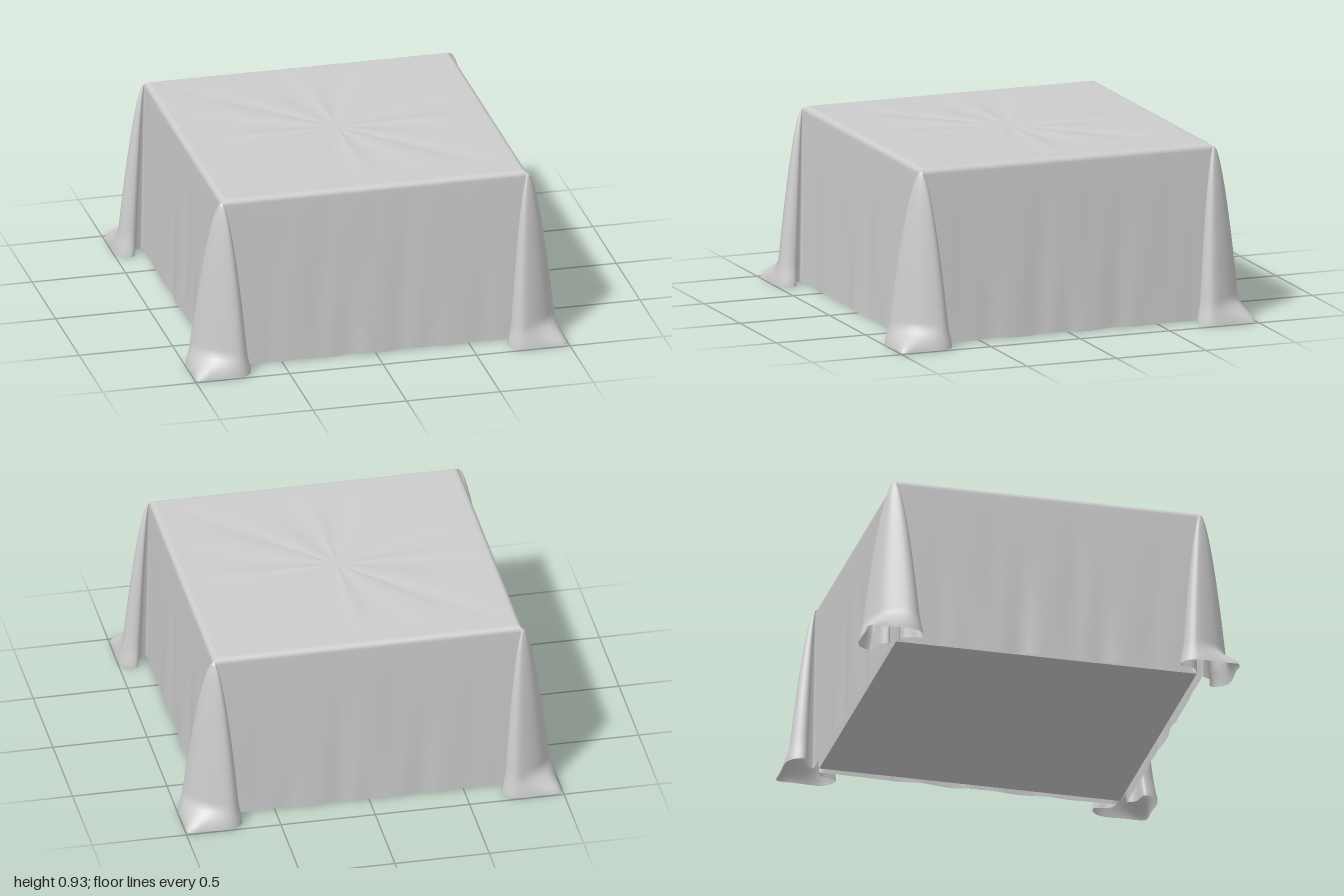
import * as THREE from 'three';

const CORNER_STEPS = 40, WALL_STEPS = 48;

// Half of the gathered corner fold: [out along the diagonal, sideways]
const FOLD = [[-0.014, 0.028], [0.0, 0.078], [-0.033, 0.145], [0.0, 0.172], [0.055, 0.17], [0.098, 0.095], [0.118, 0]];
// The same fold at the hem, where its nose spreads over the floor
const HEM = [[-0.014, 0.028], [0.0, 0.08], [-0.04, 0.155], [0.0, 0.182], [0.062, 0.175], [0.165, 0.07], [0.228, 0]];

// Points of the fold, blended towards the hem by k, from one wall to the next
function foldPoints(k) {
  const half = FOLD.map(([d, w], i) => [
    THREE.MathUtils.lerp(d, HEM[i][0], k),
    THREE.MathUtils.lerp(w, HEM[i][1], k),
  ]);
  const all = [
    ...half.map(([d, w]) => new THREE.Vector3(d, -w, 0)),
    ...half.slice(0, -1).reverse().map(([d, w]) => new THREE.Vector3(d, w, 0)),
  ];
  return new THREE.CatmullRomCurve3(all, false, 'centripetal').getPoints(CORNER_STEPS);
}

// One closed ring of the cloth: four folds joined by four rippled walls
function ring(y, c) {
  const t = THREE.MathUtils.clamp((0.93 - y) / 0.93, 0, 1);
  const s = Math.pow(t, 0.6);
  const k = 1 - THREE.MathUtils.smoothstep(y, 0.01, 0.13);
  const corner = foldPoints(k).map((p) => [
    c + (s * (p.x + p.y)) / Math.SQRT2,
    c + (s * (p.x - p.y)) / Math.SQRT2,
  ]);
  const [ex, ez] = corner[CORNER_STEPS];
  const points = [];
  for (let q = 0; q < 4; q++) {
    const side = corner.map(([x, z]) => [x, y, z]);
    for (let i = 1; i < WALL_STEPS; i++) {
      const u = i / WALL_STEPS;
      const a = u * Math.PI * 2 + q * 1.7;
      const wave = Math.sin(a * 4 + y * 2) + 0.7 * Math.sin(a * 7 + 1 - y * 3) + 0.4 * Math.sin(a * 11 + 2);
      const fade = Math.sin(Math.PI * u);
      side.push([
        ex + 0.0045 * t * fade * wave + 0.004 * t * fade,
        y + 0.003 * k * fade * Math.sin(a * 5),
        THREE.MathUtils.lerp(ez, -ex + (ex - ez), u),
      ]);
    }
    // Quarter turns about the vertical axis
    for (const [x, py, z] of side) {
      let px = x, pz = z;
      for (let n = 0; n < q; n++) [px, pz] = [pz, -px];
      points.push([px, py, pz]);
    }
  }
  return points;
}

function clothGeometry() {
  const rows = [];
  // Flat top with faint creases running to the corners
  for (let i = 0; i < 14; i++) {
    const f = i / 14;
    rows.push(ring(0.94, 0.79).map(([x, y, z]) => {
      const a = Math.atan2(z, x);
      return [x * f, y - 0.003 + 0.003 * f + 0.003 * Math.sin(Math.PI * f) * Math.cos(4 * a + 2 * Math.sin(8 * a)), z * f];
    }));
  }
  // Rounded upper edge
  for (let i = 0; i <= 6; i++) {
    const a = (i / 6) * (Math.PI / 2);
    rows.push(ring(0.91 + 0.03 * Math.cos(a), 0.79 + 0.03 * Math.sin(a)));
  }
  // Hanging sides, with closer rows near the floor
  for (let i = 1; i <= 32; i++) {
    const f = i / 32;
    const y = 0.012 + 0.898 * Math.pow(1 - f, 1.25);
    rows.push(ring(y, 0.82 + 0.007 * f));
  }
  const n = rows[0].length;
  const index = [];
  for (let r = 0; r < rows.length - 1; r++) {
    for (let i = 0; i < n; i++) {
      const j = (i + 1) % n;
      const a = r * n + i, b = r * n + j, c = a + n, d = b + n;
      if (r > 0) index.push(a, c, b);
      index.push(b, c, d);
    }
  }
  const geometry = new THREE.BufferGeometry();
  geometry.setAttribute('position', new THREE.Float32BufferAttribute(rows.flat(2), 3));
  geometry.setIndex(index);
  geometry.computeVertexNormals();
  return geometry;
}

export function createModel() {
  const group = new THREE.Group();
  group.name = 'drapedTable';

  const grey = new THREE.MeshStandardMaterial({ color: 0xcccccc, side: THREE.DoubleSide });
  grey.name = 'clothGrey';

  const cloth = new THREE.Mesh(clothGeometry(), grey);
  cloth.name = 'tablecloth';
  group.add(cloth);

  // Solid block under the cloth, closing the underside
  const block = new THREE.Mesh(new THREE.BoxGeometry(1.61, 0.88, 1.61), grey);
  block.name = 'tableBlock';
  block.position.y = 0.46;
  group.add(block);

  return group;
}
